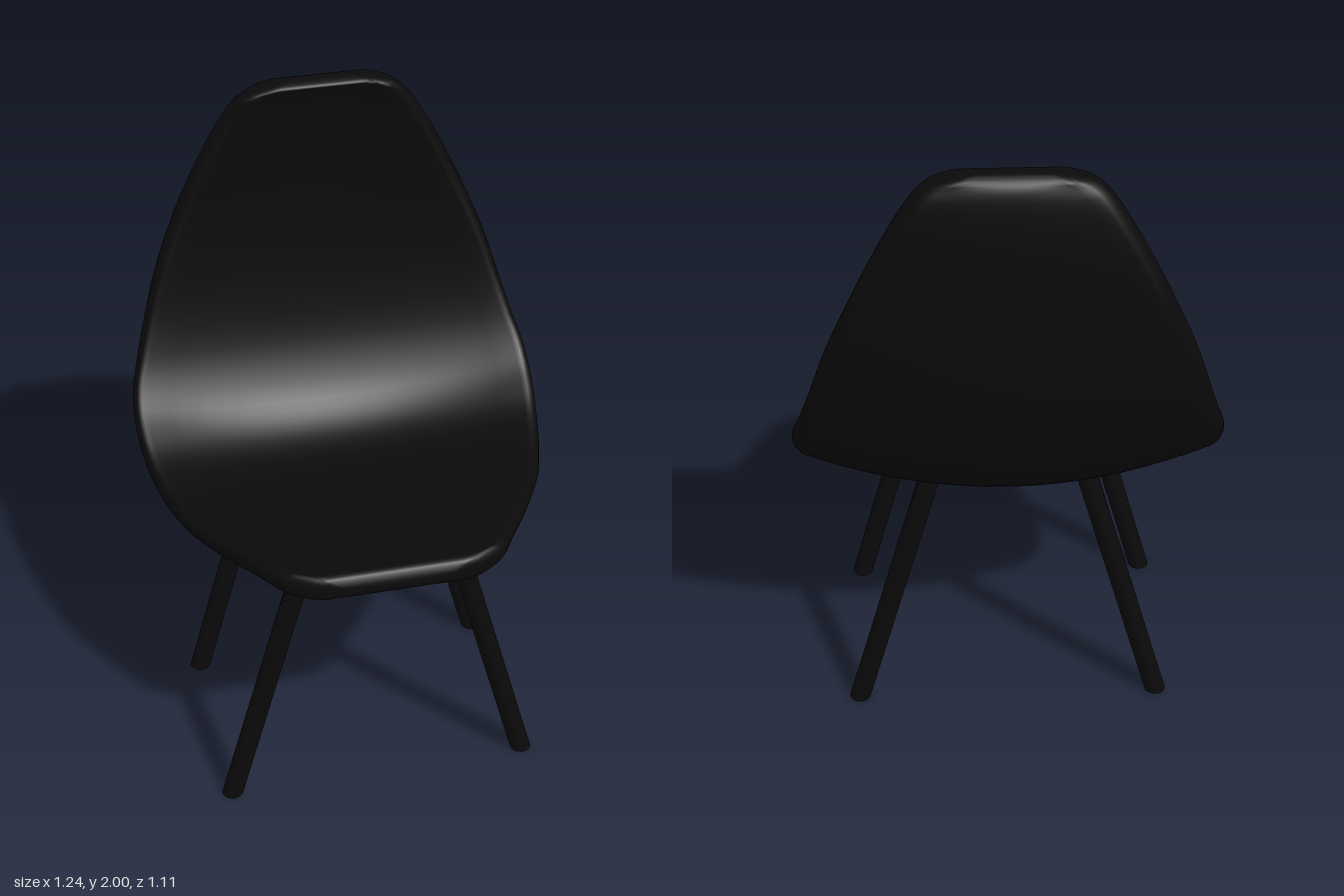
import * as THREE from 'three';

const THICKNESS = 0.08;

// Shell stations from the front lip to the top of the back:
// [outer centre z, y, inner rim z, y, half width]
const STATIONS = [
  [0.558, 0.93, 0.557, 0.955, 0.17],
  [0.545, 0.91, 0.545, 0.978, 0.235],
  [0.52, 0.902, 0.52, 0.984, 0.285],
  [0.49, 0.897, 0.495, 0.983, 0.325],
  [0.4, 0.885, 0.41, 0.975, 0.38],
  [0.3, 0.868, 0.31, 0.962, 0.44],
  [0.2, 0.847, 0.21, 0.95, 0.495],
  [0.1, 0.822, 0.12, 0.945, 0.54],
  [0, 0.808, 0.03, 0.947, 0.57],
  [-0.1, 0.803, -0.06, 0.962, 0.594],
  [-0.2, 0.812, -0.14, 0.987, 0.61],
  [-0.3, 0.845, -0.2, 1.02, 0.618],
  [-0.38, 0.905, -0.26, 1.06, 0.62],
  [-0.44, 0.99, -0.31, 1.115, 0.612],
  [-0.49, 1.1, -0.35, 1.18, 0.59],
  [-0.525, 1.25, -0.39, 1.29, 0.555],
  [-0.545, 1.42, -0.42, 1.44, 0.507],
  [-0.553, 1.6, -0.44, 1.6, 0.44],
  [-0.553, 1.75, -0.445, 1.75, 0.37],
  [-0.545, 1.87, -0.443, 1.87, 0.305],
  [-0.535, 1.94, -0.437, 1.94, 0.258],
  [-0.525, 1.972, -0.43, 1.972, 0.22],
  [-0.51, 1.99, -0.437, 1.99, 0.17],
  [-0.49, 2.0, -0.465, 2.0, 0.11],
];

// Closed slab outline with round rims, as [x, height] pairs
function slabOutline(w, r) {
  const ARC = 8, LINE = 18, pts = [];
  for (const s of [1, -1]) {
    for (let i = 0; i <= ARC; i++) {
      const a = -Math.PI / 2 + (Math.PI * i) / ARC;
      pts.push([s * (w - r + r * Math.cos(a)), s * r * Math.sin(a)]);
    }
    for (let i = 1; i < LINE; i++) pts.push([s * (w - r) * (1 - (2 * i) / LINE), s * r]);
  }
  return pts;
}

// Dished shell lofted through the stations
function shellGeometry() {
  const outer = new THREE.CatmullRomCurve3(STATIONS.map(([z, y, , , w]) => new THREE.Vector3(w, y, z)));
  const inner = new THREE.CatmullRomCurve3(STATIONS.map(([, , z, y]) => new THREE.Vector3(0, y, z)));
  const rows = (STATIONS.length - 1) * 3;
  const pos = [], index = [];
  let n = 0;
  for (let i = 0; i <= rows; i++) {
    const p = outer.getPoint(i / rows), q = inner.getPoint(i / rows);
    const dy = q.y - p.y, dz = q.z - p.z, depth = Math.hypot(dy, dz);
    const t = Math.min(depth, THICKNESS), raise = depth - t;
    const ring = slabOutline(p.x, t / 2);
    n = ring.length;
    for (const [x, h] of ring) {
      const k = (h + t / 2 + raise * (x / p.x) ** 2) / depth;
      pos.push(x, p.y + dy * k, p.z + dz * k);
    }
  }
  for (let i = 0; i < rows; i++) {
    for (let j = 0; j < n; j++) {
      const a = i * n + j, b = i * n + ((j + 1) % n);
      index.push(a, a + n, b, b, a + n, b + n);
    }
  }
  // Close the front lip and the top edge
  for (const [row, flip] of [[0, false], [rows, true]]) {
    const c = pos.length / 3, mid = [0, 0, 0];
    for (let j = 0; j < n; j++) for (let k = 0; k < 3; k++) mid[k] += pos[(row * n + j) * 3 + k] / n;
    pos.push(...mid);
    for (let j = 0; j < n; j++) {
      const a = row * n + j, b = row * n + ((j + 1) % n);
      index.push(c, flip ? b : a, flip ? a : b);
    }
  }
  const g = new THREE.BufferGeometry();
  g.setAttribute('position', new THREE.Float32BufferAttribute(pos, 3));
  g.setIndex(index);
  g.computeVertexNormals();
  return g;
}

export function createModel() {
  const model = new THREE.Group();
  model.name = 'chair';
  const black = new THREE.MeshStandardMaterial({ color: 0x0a0a0a });

  const shell = new THREE.Mesh(shellGeometry(), black);
  shell.name = 'seatShell';
  model.add(shell);

  // Splayed round legs, cut level at the floor and slotted at the top
  const R = 0.032, GAP = 0.005, SLOT = 0.73, TOP = 0.865;
  const post = new THREE.CylinderGeometry(R, R, SLOT, 32).translate(0, SLOT / 2, 0);
  const a = Math.asin(GAP / R);
  const half = new THREE.Shape().absarc(0, 0, R, a, Math.PI - a, false);
  const prong = new THREE.ExtrudeGeometry(half, { depth: TOP - SLOT, bevelEnabled: false, curveSegments: 16 })
    .rotateX(-Math.PI / 2).translate(0, SLOT, 0);
  const prongBack = prong.clone().rotateY(Math.PI);

  for (const [end, z] of [['front', 0.328], ['rear', -0.273]]) {
    for (const [side, s] of [['Left', 1], ['Right', -1]]) {
      const leg = new THREE.Group();
      leg.name = `${end}${side}Leg`;
      // Lean inwards while keeping the ends level
      const lean = new THREE.Matrix4().set(1, -0.27 * s, 0, 0, 0, 1, 0, 0, 0, 0, 1, 0, 0, 0, 0, 1);
      for (const [name, g] of [['legPost', post], ['legProng', prong], ['legProng', prongBack]]) {
        const mesh = new THREE.Mesh(g.clone().applyMatrix4(lean), black);
        mesh.name = name;
        leg.add(mesh);
      }
      leg.position.set(0.462 * s, 0, z);
      model.add(leg);
    }
  }
  return model;
}
